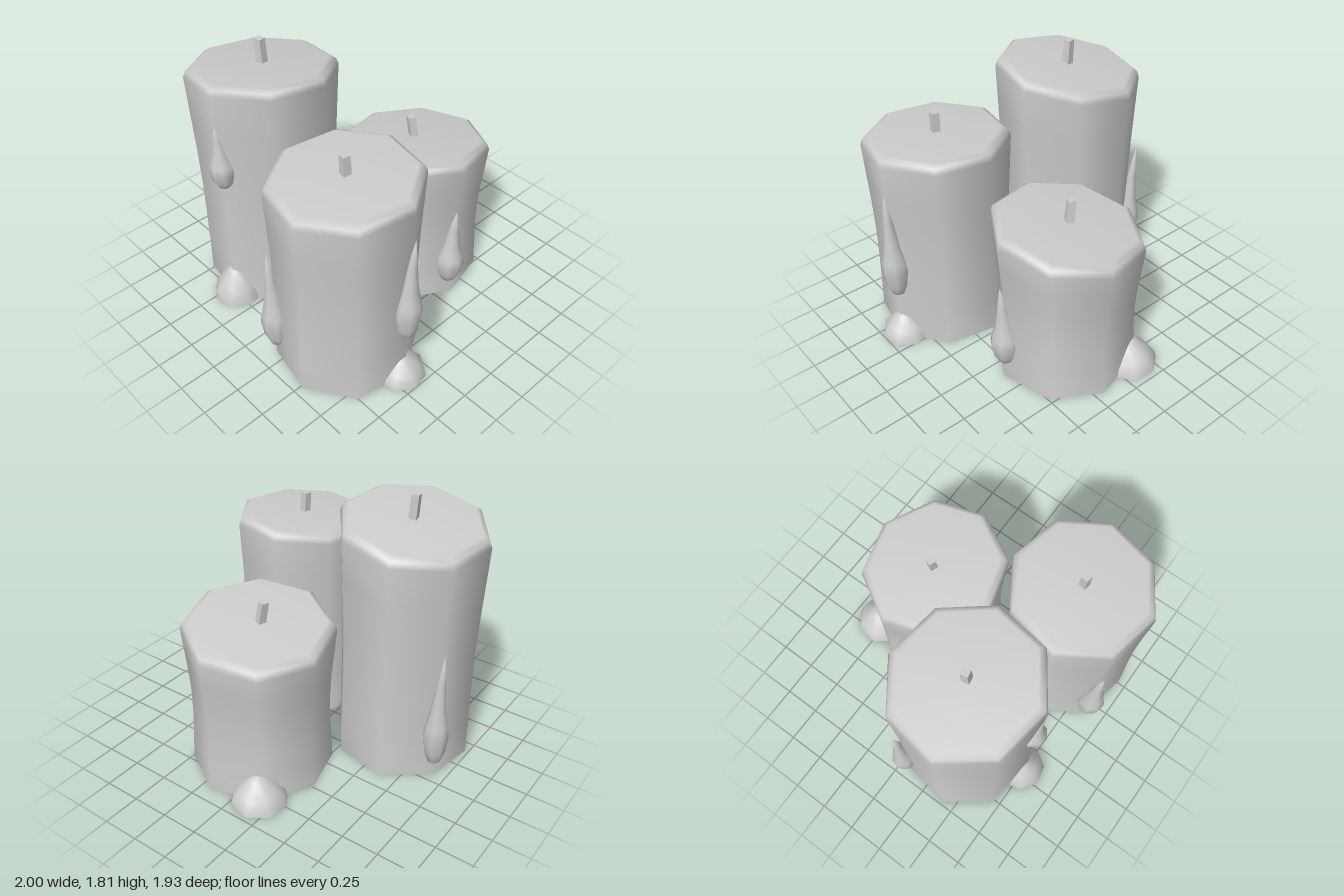
import * as THREE from 'three';
import { mergeVertices } from 'three/addons/utils/BufferGeometryUtils.js';

const wax = new THREE.MeshStandardMaterial({ color: 0xcccccc });
wax.name = 'paleWax';
const SIDES = 8;

function add(group, geometry, name) {
  const mesh = new THREE.Mesh(geometry, wax);
  mesh.name = name;
  group.add(mesh);
  return mesh;
}

// Smooth eight-sided lathe; move(v) may shift each vertex before normals are made
function turned(profile, angle, move) {
  const pts = profile.map(([r, y]) => new THREE.Vector2(r, y));
  let g = new THREE.LatheGeometry(pts, SIDES, Math.PI / 2 - angle);
  g.deleteAttribute('uv');
  g.deleteAttribute('normal');
  g = mergeVertices(g, 1e-4);
  const p = g.attributes.position;
  const v = new THREE.Vector3();
  for (let i = 0; i < p.count; i++) {
    v.fromBufferAttribute(p, i);
    move?.(v);
    p.setXYZ(i, v.x, v.y, v.z);
  }
  g.computeVertexNormals();
  return g;
}

// Flat underside facing down
function base(radius, angle) {
  return new THREE.CircleGeometry(radius, SIDES, angle).rotateX(Math.PI / 2);
}

// Candle body: waisted wall, rounded rim and slanted top
function addBody(group, c) {
  const [rBase, rMid, rTop] = c.radii;
  const h = c.height;
  const wall = new THREE.CatmullRomCurve3([
    new THREE.Vector3(rBase, 0, 0),
    new THREE.Vector3(rMid, h * 0.48, 0),
    new THREE.Vector3(rTop, h - 0.065, 0),
  ]).getPoints(6).map((p) => [p.x, p.y]);
  const profile = [...wall, [rTop - 0.015, h - 0.025], [rTop - 0.055, h], [0, h]];
  add(group, turned(profile, c.angle, (v) => {
    v.y += Math.min(1, v.y / (h - 0.065)) * (c.tilt[0] * v.x + c.tilt[1] * v.z);
  }), 'candleBody');
  add(group, base(rBase, c.angle), 'candleBase');
}

// Square wick with a slight lean
function addWick(group, { x, z, top, angle, lean }, height) {
  const len = top - height + 0.04;
  const g = new THREE.CylinderGeometry(0.034, 0.037, len, 4).toNonIndexed();
  g.rotateY(angle);
  const p = g.attributes.position;
  for (let i = 0; i < p.count; i++) {
    const t = p.getY(i) / len;
    p.setX(i, p.getX(i) + lean[0] * t);
    p.setZ(i, p.getZ(i) + lean[1] * t);
  }
  g.computeVertexNormals();
  add(group, g, 'wick').position.set(x, top - len / 2, z);
}

// Teardrop of wax whose tip follows the wall outwards
const DROP = [[0, 0], [0.5, 0.04], [0.82, 0.13], [1, 0.28], [0.9, 0.36], [0.58, 0.52], [0.36, 0.72], [0, 1]];
function addDrip(group, { x, z, bottom, top, width }) {
  const len = top - bottom;
  const out = new THREE.Vector2(x, z).normalize().multiplyScalar(0.035);
  const profile = DROP.map(([r, y]) => [r * width, y * len]);
  add(group, turned(profile, Math.atan2(z, x), (v) => {
    const t = (v.y / len) ** 2;
    v.x += out.x * t;
    v.z += out.y * t;
  }), 'waxDrip').position.set(x, bottom, z);
}

// Lumpy mound of wax at the foot
const MOUND = [[1, 0], [0.93, 0.26], [0.74, 0.42], [0.66, 0.54], [0.32, 0.84], [0, 1]];
function addPuddle(group, { x, z, radius, height }) {
  const angle = Math.atan2(z, x) + Math.PI / 8;
  const mound = MOUND.map(([r, y]) => [r * radius, y * height]);
  add(group, turned(mound, angle), 'waxPuddle').position.set(x, 0, z);
  add(group, base(radius, angle), 'puddleBase').position.set(x, 0, z);
}

// Part positions are relative to each candle's axis
const CANDLES = [
  {
    name: 'tallCandle', x: -0.526, z: 0.31, height: 1.651, radii: [0.46, 0.455, 0.485],
    angle: -0.227, tilt: [0.119, 0.09],
    wick: { x: 0.005, z: 0, top: 1.81, angle: 0.95, lean: [-0.015, 0] },
    drips: [
      { x: 0.096, z: 0.425, bottom: 0.94, top: 1.47, width: 0.088 },
      { x: -0.39, z: -0.255, bottom: 0.1, top: 0.96, width: 0.085 },
    ],
    puddle: { x: 0.086, z: 0.405, radius: 0.17, height: 0.27 },
  },
  {
    name: 'mediumCandle', x: 0.431, z: 0.488, height: 1.405, radii: [0.463, 0.45, 0.478],
    angle: -0.19, tilt: [0.015, -0.05],
    wick: { x: 0, z: 0, top: 1.535, angle: 0.6, lean: [-0.005, 0.005] },
    drips: [
      { x: -0.245, z: 0.375, bottom: 0.08, top: 0.87, width: 0.098 },
      { x: 0.438, z: -0.09, bottom: 0.34, top: 1.16, width: 0.092 },
    ],
    puddle: { x: 0.405, z: -0.085, radius: 0.168, height: 0.195 },
  },
  {
    name: 'shortCandle', x: 0.118, z: -0.431, height: 1.062, radii: [0.47, 0.45, 0.49],
    angle: 0.14, tilt: [0.108, 0.1],
    wick: { x: -0.025, z: 0.005, top: 1.2, angle: 0.4, lean: [-0.03, 0.01] },
    drips: [{ x: 0.435, z: 0.075, bottom: 0.1, top: 0.73, width: 0.1 }],
    puddle: { x: -0.255, z: -0.355, radius: 0.19, height: 0.21 },
  },
];

export function createModel() {
  const model = new THREE.Group();
  model.name = 'candleCluster';
  for (const c of CANDLES) {
    const group = new THREE.Group();
    group.name = c.name;
    group.position.set(c.x, 0, c.z);
    addBody(group, c);
    addWick(group, c.wick, c.height);
    c.drips.forEach((d) => addDrip(group, d));
    addPuddle(group, c.puddle);
    model.add(group);
  }
  return model;
}
